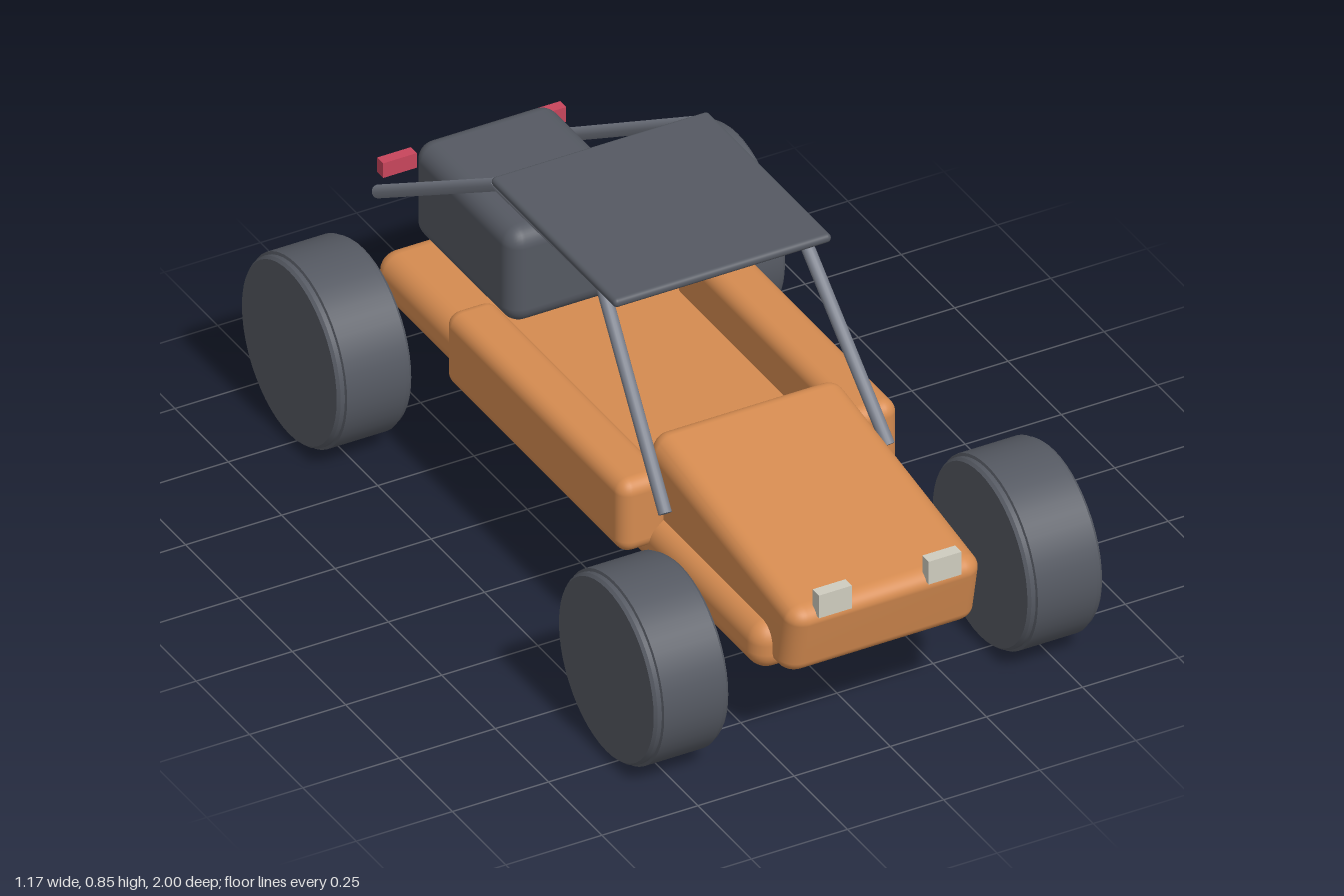
import * as THREE from 'three';
import { mergeVertices } from 'three/addons/utils/BufferGeometryUtils.js';
import { RoundedBoxGeometry } from 'three/addons/geometries/RoundedBoxGeometry.js';

const paint = (name, color) => {
  const m = new THREE.MeshStandardMaterial({ color });
  m.name = name;
  return m;
};

export function createModel() {
  const orange = paint('orangeBody', 0xd58b50);
  const dark = paint('darkGrey', 0x555962);
  const steel = paint('steelTube', 0x7b808c);
  const lamp = paint('headlightGlass', 0xcfccbf);
  const red = paint('tailLightRed', 0xc8455c);

  const model = new THREE.Group();
  model.name = 'duneBuggy';

  const add = (name, geo, mat) => {
    const mesh = new THREE.Mesh(geo, mat);
    mesh.name = name;
    model.add(mesh);
    return mesh;
  };
  // Box given by its limits on each axis, rounded when r > 0
  const box = (name, mat, [x0, x1], [y0, y1], [z0, z1], r = 0) => {
    const size = [x1 - x0, y1 - y0, z1 - z0];
    const geo = r ? new RoundedBoxGeometry(...size, 4, r) : new THREE.BoxGeometry(...size);
    add(name, geo, mat).position.set((x0 + x1) / 2, (y0 + y1) / 2, (z0 + z1) / 2);
  };
  // Straight frame tube between two points
  const tube = (name, a, b, r = 0.016) => {
    const p = new THREE.Vector3(...a), q = new THREE.Vector3(...b);
    const mesh = add(name, new THREE.CylinderGeometry(r, r, p.distanceTo(q), 16), steel);
    mesh.position.copy(p).add(q).multiplyScalar(0.5);
    mesh.quaternion.setFromUnitVectors(new THREE.Vector3(0, 1, 0), q.sub(p).normalize());
  };

  // Floor pan and engine block
  box('chassis', orange, [-0.29, 0.29], [0.22, 0.345], [-0.905, 0.9], 0.05);
  box('engine', dark, [-0.18, 0.18], [0.345, 0.6], [-0.92, -0.455], 0.045);

  // Wedge nose: a rounded box whose top slopes down and whose front leans
  let nose = new RoundedBoxGeometry(0.5, 0.24, 0.69, 5, 0.045);
  nose.deleteAttribute('normal');
  nose.deleteAttribute('uv');
  nose = mergeVertices(nose, 1e-5);
  const pos = nose.attributes.position;
  for (let i = 0; i < pos.count; i++) {
    const u = pos.getY(i) / 0.24 + 0.5;
    const t = pos.getZ(i) / 0.69 + 0.5;
    const y = 0.24 + u * THREE.MathUtils.lerp(0.305, 0.185, t);
    pos.setXYZ(i, pos.getX(i), y, 0.3 + t * 0.69 + THREE.MathUtils.lerp(0.01, 0.04, t) * (u - 0.75));
  }
  nose.computeVertexNormals();
  add('nose', nose, orange);

  // Roof panel and cross tubes
  box('roof', dark, [-0.283, 0.283], [0.83, 0.853], [-0.365, 0.22], 0.011);
  tube('roofCrossFront', [-0.255, 0.822, 0.11], [0.255, 0.822, 0.11], 0.014);
  tube('roofCrossRear', [-0.262, 0.822, -0.365], [0.262, 0.822, -0.365], 0.014);

  // Tyre profile: broad tread with a small step at each shoulder
  const profile = [
    [0, -0.097], [0.222, -0.097], [0.228, -0.09], [0.228, -0.079], [0.235, -0.077],
    [0.235, 0.077], [0.228, 0.079], [0.228, 0.09], [0.222, 0.097], [0, 0.097],
  ];
  // Repeat each corner so the edges stay crisp
  const crisp = profile.flatMap(([r, y], i) =>
    i === 0 || i === profile.length - 1
      ? [new THREE.Vector2(r, y)]
      : [new THREE.Vector2(r, y), new THREE.Vector2(r, y)]);
  // Flat normals per band from separate lathe strips
  const wheelStrips = [];
  for (let i = 0; i < crisp.length; i += 2) {
    wheelStrips.push(new THREE.LatheGeometry([crisp[i], crisp[i + 1]], 48));
  }

  for (const s of [1, -1]) {
    const side = s > 0 ? 'left' : 'right';
    const span = (a, b) => (s > 0 ? [a, b] : [-b, -a]);

    box(side + 'SidePod', orange, span(0.235, 0.363), [0.277, 0.472], [-0.44, 0.395], 0.035);
    box(side + 'Headlight', lamp, span(0.1, 0.185), [0.41, 0.472], [0.97, 1]);
    box(side + 'TailLight', red, span(0.15, 0.238), [0.495, 0.535], [-0.975, -0.947]);

    // Roll cage
    tube(side + 'FrontStrut', [s * 0.29, 0.42, 0.468], [s * 0.255, 0.825, 0.11]);
    tube(side + 'RoofRail', [s * 0.255, 0.825, 0.11], [s * 0.262, 0.825, -0.365]);
    tube(side + 'RearStrut', [s * 0.262, 0.825, -0.365], [s * 0.238, 0.445, -0.97]);

    // Wheels
    for (const [end, z] of [['Front', 0.72], ['Rear', -0.765]]) {
      const wheel = new THREE.Group();
      wheel.name = side + end + 'Wheel';
      for (const strip of wheelStrips) {
        const band = new THREE.Mesh(strip, dark);
        band.name = 'tyreBand';
        wheel.add(band);
      }
      wheel.rotation.z = -s * Math.PI / 2;
      wheel.position.set(s * 0.486, 0.235, z);
      model.add(wheel);
    }
  }
  return model;
}
